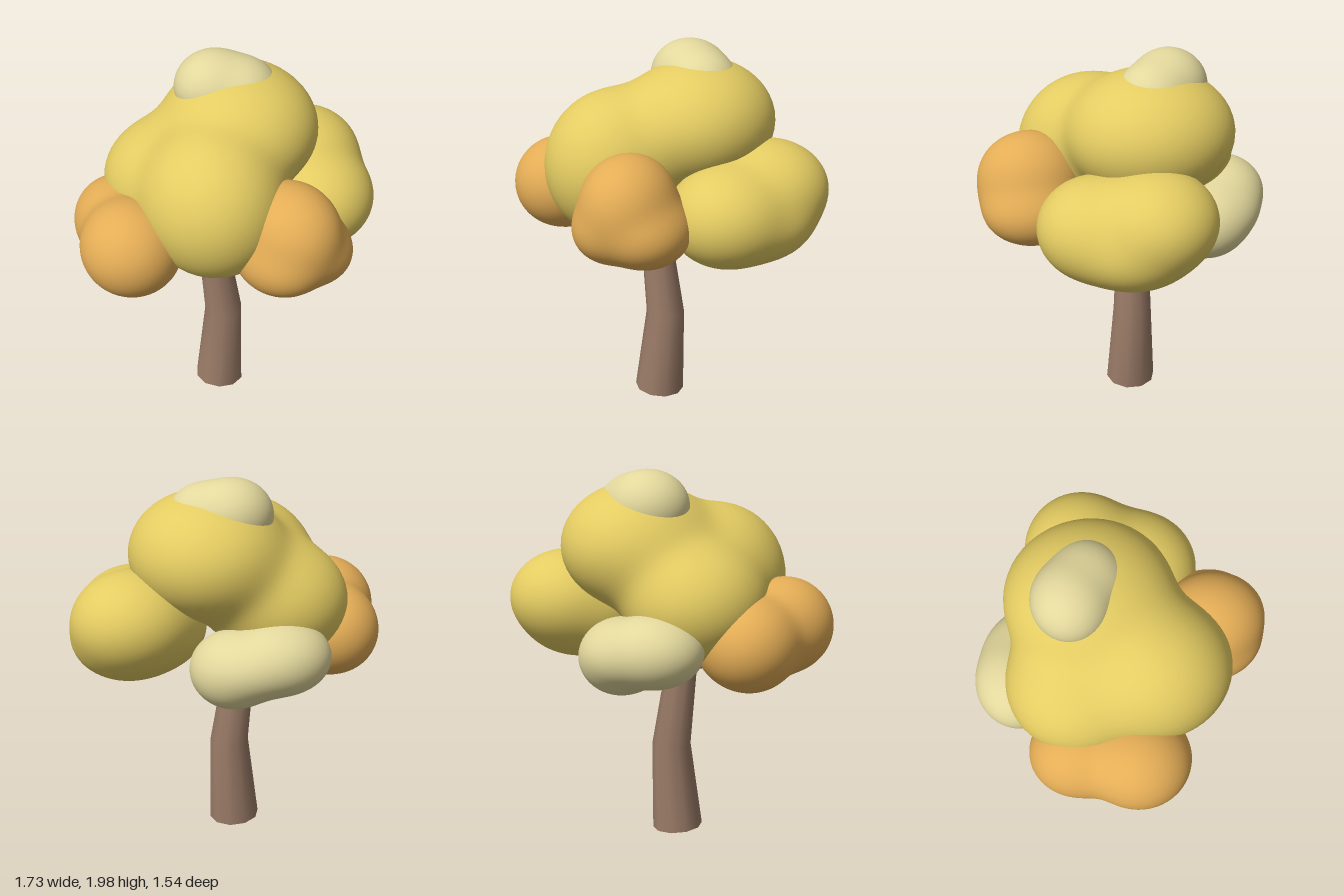
import * as THREE from 'three';
import { mergeVertices, toCreasedNormals } from 'three/addons/utils/BufferGeometryUtils.js';

const mat = (name, color) => Object.assign(new THREE.MeshStandardMaterial({ color }), { name });

// Smooth union of ellipsoid lobes [x, y, z, rx, ry, rz]; negative inside.
function field(p, lobes, k = 6.5) {
  let sum = 0;
  for (const [x, y, z, rx, ry, rz] of lobes) {
    const d = Math.hypot((p.x - x) / rx, (p.y - y) / ry, (p.z - z) / rz) - 1;
    sum += Math.exp(-k * d);
  }
  return -Math.log(sum) / k;
}

// A rounded leaf clump: a sphere whose vertices are moved onto the lobes' skin.
function clumpGeometry(lobes) {
  const ball = new THREE.IcosahedronGeometry(1, 16);
  ball.deleteAttribute('uv');
  ball.deleteAttribute('normal');
  const geo = mergeVertices(ball, 1e-4);
  const centre = new THREE.Vector3();
  lobes.forEach(([x, y, z]) => centre.add(new THREE.Vector3(x, y, z)));
  centre.divideScalar(lobes.length);
  const pos = geo.attributes.position;
  const dir = new THREE.Vector3(), p = new THREE.Vector3();
  const at = (t) => field(p.copy(centre).addScaledVector(dir, t), lobes);
  for (let i = 0; i < pos.count; i++) {
    dir.fromBufferAttribute(pos, i).normalize();
    let out = 1.2;
    while (out > 0.03 && at(out) > 0) out -= 0.02;
    let lo = out, hi = out + 0.02;
    for (let n = 0; n < 10; n++) {
      const mid = (lo + hi) / 2;
      if (at(mid) > 0) hi = mid; else lo = mid;
    }
    at(lo);
    pos.setXYZ(i, p.x, p.y, p.z);
  }
  geo.computeVertexNormals();
  return geo;
}

// Bent, tapering trunk: three rings [x, y, z, radius, tilt] from top to bottom.
function trunkGeometry(rings) {
  const geo = new THREE.CylinderGeometry(1, 1, 2, 10, 2);
  const pos = geo.attributes.position;
  for (let i = 0; i < pos.count; i++) {
    const [x, y, z, r, tilt] = rings[1 - Math.round(pos.getY(i))];
    const dx = pos.getX(i) * r;
    pos.setXYZ(i, x + dx, y - dx * tilt, z + pos.getZ(i) * r);
  }
  return toCreasedNormals(geo, 0.7);
}

// Tapering stick between two points.
function branch(from, to, material) {
  const a = new THREE.Vector3(...from), b = new THREE.Vector3(...to);
  const mesh = new THREE.Mesh(new THREE.CylinderGeometry(0.016, 0.034, a.distanceTo(b), 6), material);
  mesh.position.copy(a).add(b).divideScalar(2);
  mesh.quaternion.setFromUnitVectors(new THREE.Vector3(0, 1, 0), b.sub(a).normalize());
  mesh.name = 'branch';
  return mesh;
}

export function createModel() {
  const tree = new THREE.Group();
  tree.name = 'tree';
  const bark = mat('bark brown', 0x9a7b67);
  const yellow = mat('leaf yellow', 0xe4cc62);
  const orange = mat('leaf orange', 0xe4ad56);
  const pale = mat('leaf pale', 0xe2d79c);

  // Trunk and branches
  const trunk = new THREE.Mesh(trunkGeometry([
    [-0.09, 1.08, -0.065, 0.076, -0.05],
    [-0.012, 0.485, -0.052, 0.104, 0],
    [-0.046, 0.013, -0.048, 0.134, 0.08],
  ]), bark);
  trunk.name = 'trunk';
  tree.add(trunk);
  const branches = new THREE.Group();
  branches.name = 'branches';
  const hub = [-0.08, 0.945, -0.06];
  for (const tip of [[-0.36, 0.945, -0.03], [0.12, 0.965, -0.02], [-0.075, 0.985, 0.1], [0.03, 0.885, -0.27]]) {
    branches.add(branch(hub, tip, bark));
  }
  tree.add(branches);

  // Leaf clumps
  const clumps = [
    ['mainCrown', yellow, [
      [-0.22, 1.385, 0.145, 0.355, 0.385, 0.385],
      [-0.19, 1.33, -0.25, 0.36, 0.31, 0.365],
      [0.15, 1.585, -0.12, 0.395, 0.325, 0.425],
    ]],
    ['leftCrown', yellow, [
      [0.55, 1.28, -0.085, 0.31, 0.25, 0.3],
      [0.42, 1.2, 0.2, 0.3, 0.26, 0.3],
      [0.53, 1.14, 0.03, 0.28, 0.2, 0.28],
      [0.38, 1.22, -0.06, 0.22, 0.2, 0.22],
    ]],
    ['frontClump', orange, [
      [0.01, 1.32, 0.49, 0.235, 0.24, 0.27],
      [0.12, 1.18, 0.49, 0.21, 0.18, 0.25],
      [-0.07, 1.18, 0.48, 0.2, 0.18, 0.25],
    ]],
    ['rightClump', orange, [
      [-0.61, 1.18, -0.02, 0.255, 0.25, 0.265],
      [-0.49, 1.14, -0.3, 0.24, 0.24, 0.265],
      [-0.43, 1.07, -0.18, 0.23, 0.18, 0.23],
    ]],
    ['backClump', pale, [
      [0.15, 1.06, -0.415, 0.215, 0.195, 0.225],
      [-0.065, 1.135, -0.55, 0.245, 0.185, 0.22],
      [0.09, 1.1, -0.5, 0.2, 0.15, 0.2],
    ]],
    ['topClump', pale, [
      [0.055, 1.8, -0.225, 0.205, 0.185, 0.195],
      [0.165, 1.77, -0.12, 0.19, 0.18, 0.19],
    ]],
  ];
  for (const [name, material, lobes] of clumps) {
    const mesh = new THREE.Mesh(clumpGeometry(lobes), material);
    mesh.name = name;
    tree.add(mesh);
  }
  return tree;
}
